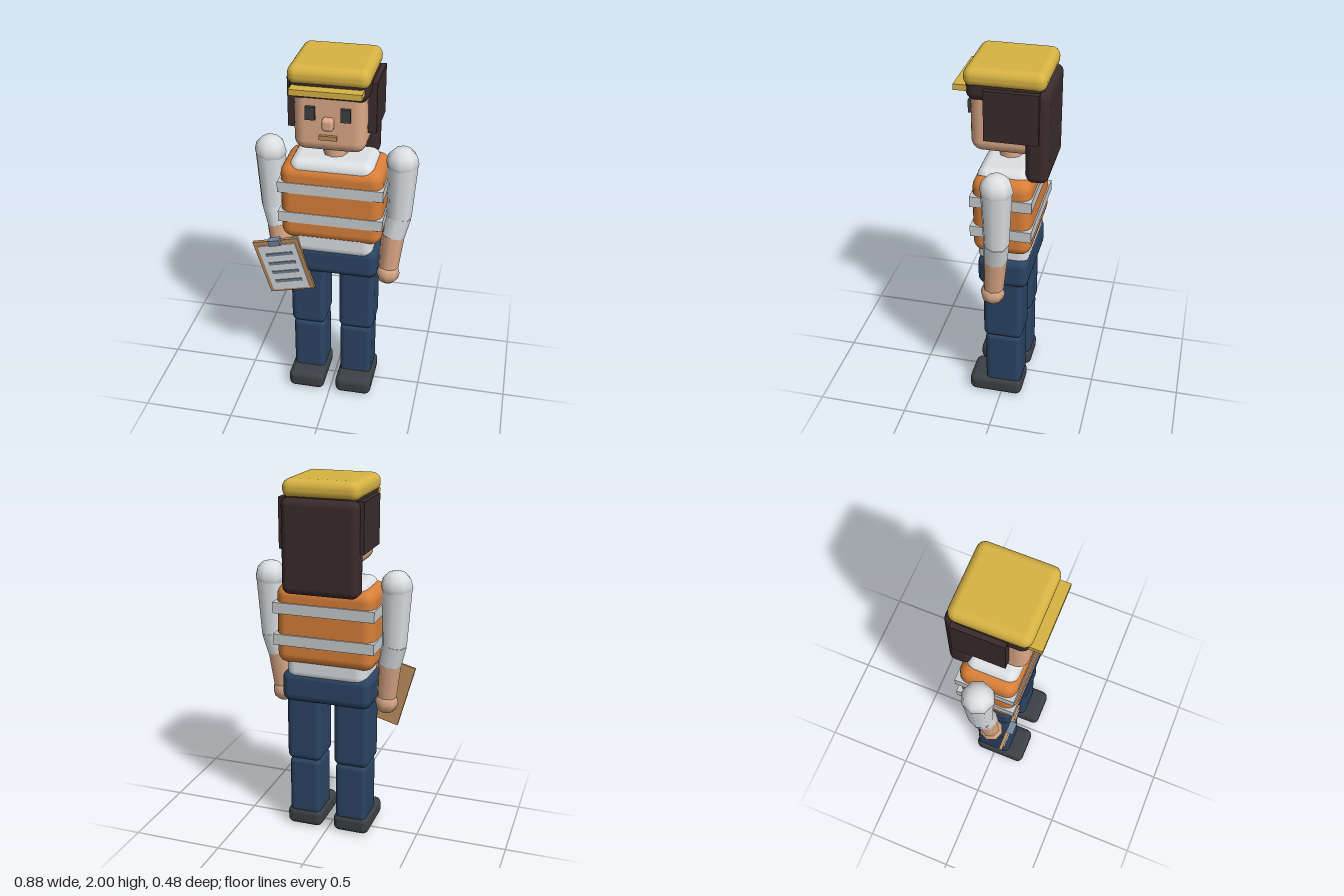
import * as THREE from 'three';
import { RoundedBoxGeometry } from 'three/addons/geometries/RoundedBoxGeometry.js';

const paint = (name, color) => {
  const m = new THREE.MeshStandardMaterial({ color });
  m.name = name;
  return m;
};

export function createModel() {
  const model = new THREE.Group();
  model.name = 'siteWorker';
  const helmetYellow = paint('helmetYellow', 0xd8b343);
  const hairBrown = paint('hairBrown', 0x3b2b2d);
  const skin = paint('skin', 0xdba887);
  const shirtWhite = paint('shirtWhite', 0xdde1e4);
  const vestOrange = paint('vestOrange', 0xd97f38);
  const stripeGrey = paint('stripeGrey', 0xc8ccce);
  const denim = paint('denim', 0x2b4464);
  const charcoal = paint('charcoal', 0x3c4145);
  const wood = paint('wood', 0xbb8b5c);
  const steelBlue = paint('steelBlue', 0x74869c);

  const add = (name, geometry, material, parent = model) => {
    const mesh = new THREE.Mesh(geometry, material);
    mesh.name = name;
    parent.add(mesh);
    return mesh;
  };
  // Box given by its extents [min, max]; a radius rounds the edges
  const block = (name, material, [x0, x1], [y0, y1], [z0, z1], radius = 0, parent = model) => {
    const size = [x1 - x0, y1 - y0, z1 - z0];
    const geometry = radius ? new RoundedBoxGeometry(...size, 3, radius) : new THREE.BoxGeometry(...size);
    const mesh = add(name, geometry, material, parent);
    mesh.position.set((x0 + x1) / 2, (y0 + y1) / 2, (z0 + z1) / 2);
    return mesh;
  };
  // Tapered eight-sided limb between two points
  const limb = (name, material, from, to, r0, r1, parent) => {
    const a = new THREE.Vector3(...from), b = new THREE.Vector3(...to);
    const mesh = add(name, new THREE.CylinderGeometry(r0, r1, a.distanceTo(b), 8), material, parent);
    mesh.position.copy(a).add(b).multiplyScalar(0.5);
    mesh.quaternion.setFromUnitVectors(new THREE.Vector3(0, 1, 0), a.clone().sub(b).normalize());
    return mesh;
  };
  const ball = (name, material, center, r, parent) => {
    const mesh = add(name, new THREE.SphereGeometry(r, 8, 6), material, parent);
    mesh.position.set(...center);
    return mesh;
  };

  // Helmet
  block('helmet', helmetYellow, [-0.207, 0.207], [1.9, 2], [-0.222, 0.19], 0.045);
  block('helmetBrim', helmetYellow, [-0.18, 0.18], [1.875, 1.906], [0.08, 0.24]);

  // Hair
  block('hairCap', hairBrown, [-0.2, 0.2], [1.825, 1.96], [-0.21, 0.182], 0.05);
  block('backHair', hairBrown, [-0.207, 0.207], [1.41, 1.91], [-0.24, -0.12], 0.04);

  // Head and face
  block('head', skin, [-0.184, 0.184], [1.545, 1.9], [-0.17, 0.166], 0.06);
  block('nose', skin, [-0.03, 0.03], [1.68, 1.745], [0.15, 0.205], 0.018);
  block('mouth', wood, [-0.045, 0.045], [1.625, 1.648], [0.15, 0.182]);
  limb('neck', skin, [0, 1.6, -0.01], [0, 1.43, -0.01], 0.06, 0.066);

  // Torso
  block('shirt', shirtWhite, [-0.225, 0.225], [0.905, 1.472], [-0.148, 0.128], 0.055);
  block('vest', vestOrange, [-0.272, 0.272], [1, 1.44], [-0.168, 0.142], 0.06);
  for (const y of [1.11, 1.285]) {
    block('vestStripe', stripeGrey, [-0.28, 0.28], [y, y + 0.06], [-0.176, 0.146]);
  }
  block('pelvis', denim, [-0.25, 0.25], [0.778, 0.955], [-0.15, 0.122], 0.045);

  // Paired parts
  for (const s of [1, -1]) {
    const span = (a, b) => (s > 0 ? [a, b] : [-b, -a]);
    const side = s > 0 ? 'left' : 'right';
    block(side + 'Hair', hairBrown, span(0.17, 0.227), [1.64, 1.905], [-0.195, 0.08]);
    block(side + 'Eye', charcoal, span(0.065, 0.114), [1.73, 1.798], [0.15, 0.186]);
    block(side + 'Thigh', denim, span(0.038, 0.235), [0.418, 0.9], [-0.12, 0.098], 0.035);
    block(side + 'Shin', denim, span(0.045, 0.225), [0.08, 0.425], [-0.112, 0.09], 0.03);
    block(side + 'Shoe', charcoal, span(0.034, 0.24), [0.004, 0.11], [-0.118, 0.184], 0.035);

    const arm = new THREE.Group();
    arm.name = side + 'Arm';
    model.add(arm);
    ball('shoulder', shirtWhite, [s * 0.352, 1.445, -0.014], 0.087, arm);
    limb('upperSleeve', shirtWhite, [s * 0.354, 1.45, -0.014], [s * 0.345, 1.13, -0.01], 0.082, 0.068, arm);
    ball('elbow', shirtWhite, [s * 0.345, 1.13, -0.01], 0.067, arm);
    limb('lowerSleeve', shirtWhite, [s * 0.345, 1.13, -0.01], [s * 0.319, 1.015, 0.002], 0.068, 0.064, arm);
    limb('forearm', skin, [s * 0.319, 1.02, 0.002], [s * 0.302, 0.82, 0.017], 0.064, 0.055, arm);
    ball('hand', skin, [s * 0.3, 0.782, 0.022], 0.066, arm);
  }

  // Clipboard, tilted sideways and leaning forward at the top
  const clipboard = new THREE.Group();
  clipboard.name = 'clipboard';
  clipboard.position.set(-0.262, 0.815, 0.118);
  clipboard.rotation.set(0.1, 0, 0.25);
  model.add(clipboard);
  block('board', wood, [-0.13, 0.13], [-0.173, 0.173], [-0.009, 0.009], 0, clipboard);
  block('paper', shirtWhite, [-0.108, 0.108], [-0.158, 0.145], [0.008, 0.014], 0, clipboard);
  for (const y of [0.085, 0.024, -0.037, -0.098]) {
    block('paperLine', steelBlue, [-0.078, 0.078], [y - 0.009, y + 0.009], [0.013, 0.018], 0, clipboard);
  }
  block('clip', steelBlue, [-0.033, 0.033], [0.15, 0.185], [-0.008, 0.03], 0, clipboard);

  return model;
}
